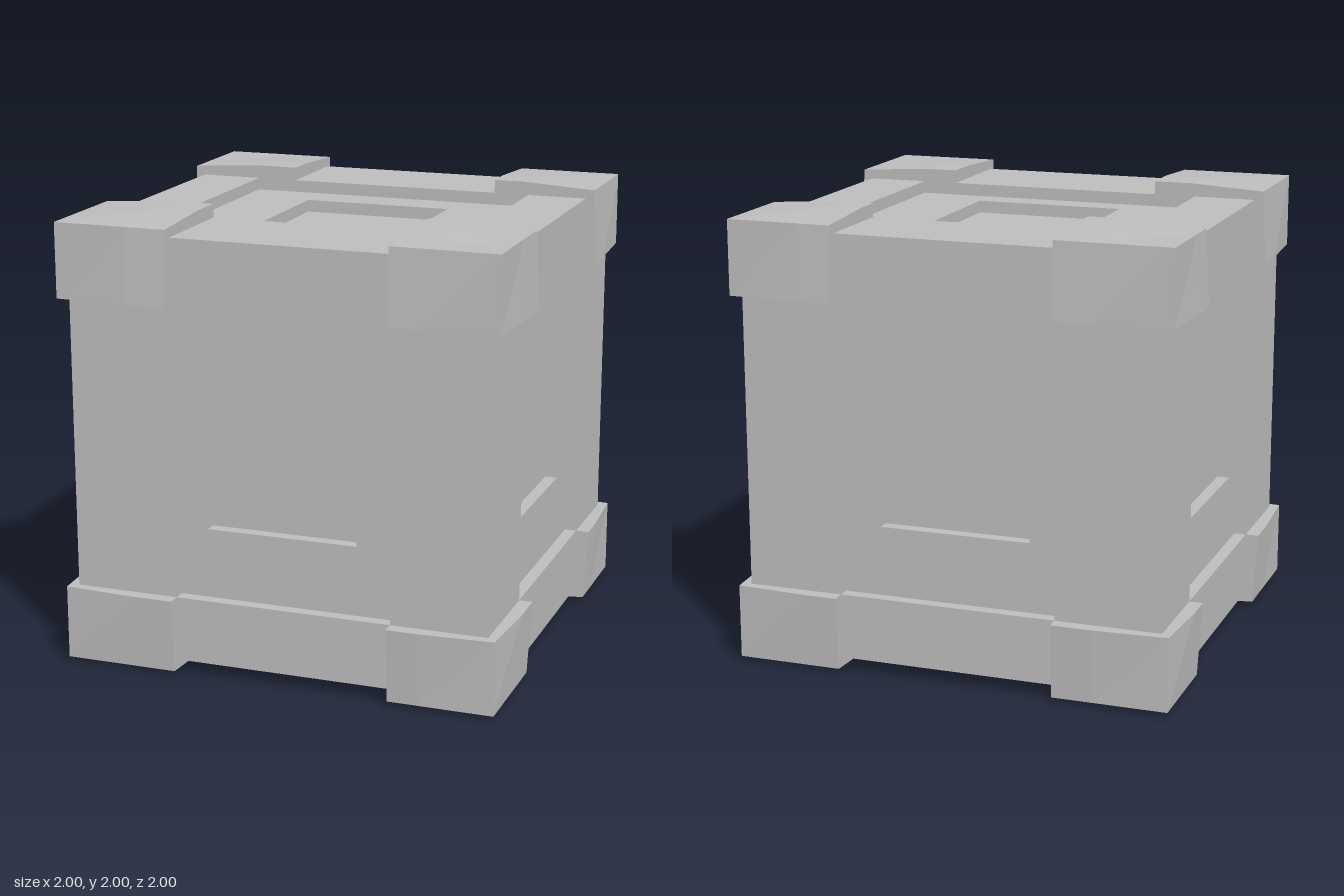
import * as THREE from 'three';

const OUT = 0.94;                 // outer face of posts and rails
const PANEL = 0.885, FLOOR = 0.83; // panel face and its sunken centre
const INNER_X = { '-1': -0.47, '1': 0.51 };
const INNER_Z = { '-1': -0.52, '1': 0.47 };
const RAIL_X = { '-1': -0.66, '1': 0.67 };

export function createModel() {
  const model = new THREE.Group();
  const crate = new THREE.Group(); // built around its centre, then lifted
  crate.name = 'crate';
  crate.position.y = 1;
  model.add(crate);
  const grey = new THREE.MeshStandardMaterial({ color: 0xbcbcbc });
  grey.name = 'plain grey';

  const add = (geometry, name, parent = crate) => {
    const mesh = new THREE.Mesh(geometry, grey);
    mesh.name = name;
    parent.add(mesh);
    return mesh;
  };
  // Box between two opposite limits on each axis
  const block = (name, [x0, x1], [y0, y1], [z0, z1]) => {
    const g = new THREE.BoxGeometry(Math.abs(x1 - x0), Math.abs(y1 - y0), Math.abs(z1 - z0));
    g.translate((x0 + x1) / 2, (y0 + y1) / 2, (z0 + z1) / 2);
    return add(g, name);
  };

  // Core, whose faces are the sunken panel centres
  block('core', [-FLOOR, FLOOR], [-FLOOR, FLOOR], [-FLOOR, FLOOR]);

  // Six panel surrounds with a square opening
  const shape = new THREE.Shape();
  const r = 0.7, h = 0.34;
  shape.moveTo(-r, -r).lineTo(r, -r).lineTo(r, r).lineTo(-r, r).closePath();
  const hole = new THREE.Path();
  hole.moveTo(-h, -h).lineTo(-h, h).lineTo(h, h).lineTo(h, -h).closePath();
  shape.holes.push(hole);
  const frame = new THREE.ExtrudeGeometry(shape, { depth: PANEL - FLOOR + 0.01, bevelEnabled: false });
  frame.translate(0, 0, FLOOR - 0.01);
  const q = Math.PI / 2;
  const turns = {
    frontPanel: [0, 0], leftPanel: [0, q], backPanel: [0, 2 * q],
    rightPanel: [0, -q], topPanel: [-q, 0], bottomPanel: [q, 0],
  };
  for (const [name, [rx, ry]] of Object.entries(turns)) add(frame, name).rotation.set(rx, ry, 0);

  // Rails along the top and bottom edges
  for (const sy of [-1, 1]) {
    const ys = [sy * 0.65, sy * OUT];
    for (const s of [-1, 1]) {
      block('crossRail', [INNER_X[-1], INNER_X[1]], ys, [INNER_Z[s], s * OUT]);
      block('sideRail', [RAIL_X[s], s * OUT], ys, [INNER_Z[-1], INNER_Z[1]]);
    }
  }

  // Posts and slightly swelling corner caps
  for (const sx of [-1, 1]) for (const sz of [-1, 1]) {
    block('cornerPost', [INNER_X[sx], sx * OUT], [-0.65, 0.65], [INNER_Z[sz], sz * OUT]);
    for (const sy of [-1, 1]) add(cornerCap(sx, sy, sz), 'cornerCap');
  }
  return model;
}

// Cap whose outer faces are full near the inner edges and drop towards the corner
function cornerCap(sx, sy, sz) {
  const g = new THREE.BoxGeometry(2, 2, 2, 2, 1, 2);
  const p = g.attributes.position;
  const stops = (inner) => [inner, 0.65, 1];
  const xs = stops(Math.abs(INNER_X[sx])), ys = stops(0.65), zs = stops(Math.abs(INNER_Z[sz]));
  for (let i = 0; i < p.count; i++) {
    // Step 0 is the inner side, 2 the outer side
    const a = Math.round(p.getX(i) * sx) + 1;
    const b = Math.round(p.getY(i) * sy) + 1;
    const c = Math.round(p.getZ(i) * sz) + 1;
    const drop = [a, b, c].filter((n) => n === 2).length > 1 ? 0.02 : 0;
    const place = (list, n) => list[n] - (n === 2 ? drop : 0);
    p.setXYZ(i, sx * place(xs, a), sy * place(ys, b), sz * place(zs, c));
  }
  const flat = g.toNonIndexed();
  flat.computeVertexNormals();
  return flat;
}
